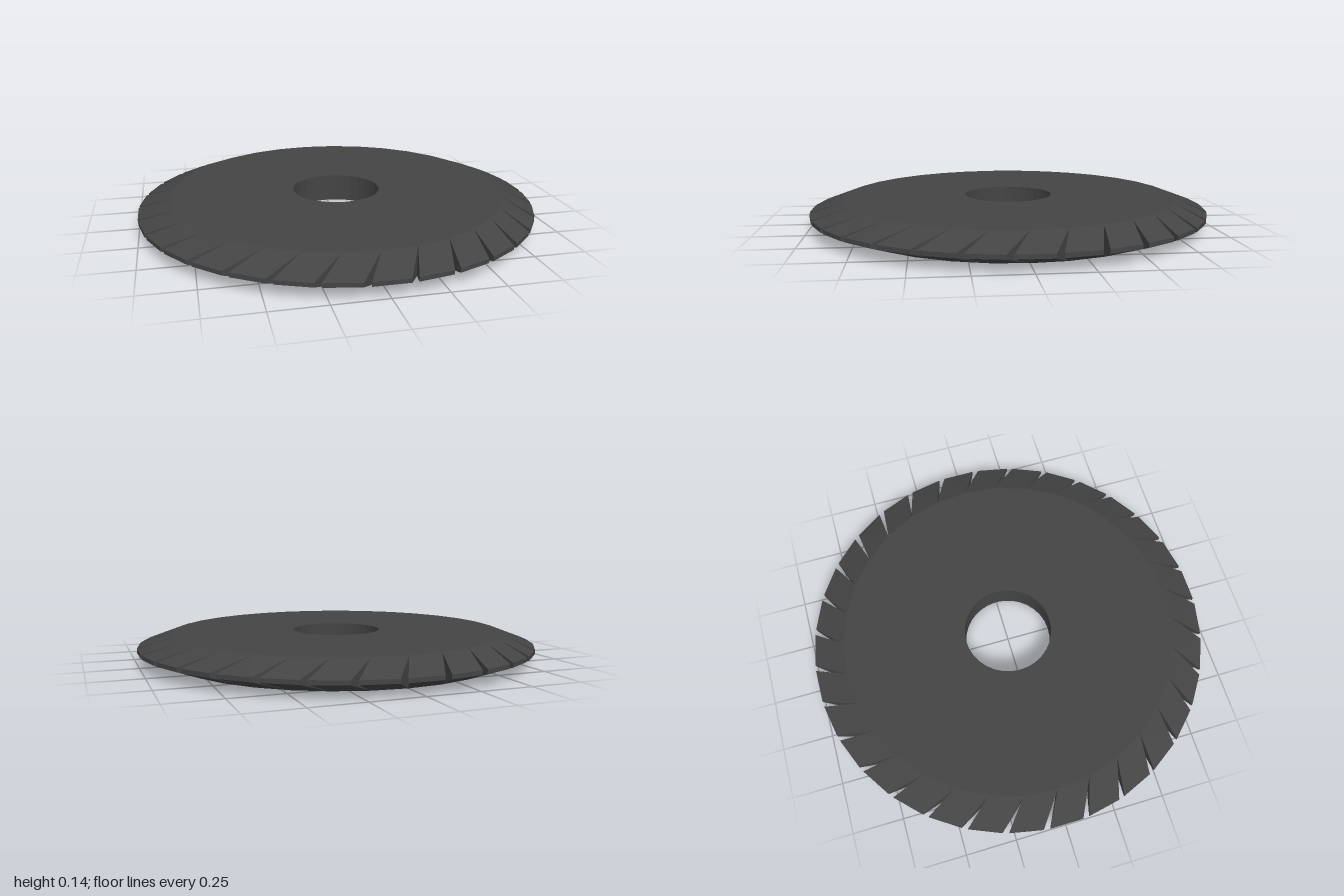
import * as THREE from 'three';

const TEETH = 32;
const PITCH = (Math.PI * 2) / TEETH;
const HALF_GAP = 0.0157; // half the slot width at the rim, in radians
const R_BORE = 0.222, R_DISC = 0.842, R_RIM = 1.0034;
const HEIGHT = 0.14, RIM_LOW = 0.06, RIM_HIGH = 0.08;

// Point on a circle; angles run clockwise seen from above
const point = (r, a, y) => [r * Math.sin(a), y, -r * Math.cos(a)];

// Collects counter-clockwise quads into one flat-shaded mesh
function quadMesh(name, material, build) {
  const positions = [];
  build((a, b, c, d) => positions.push(...a, ...b, ...c, ...a, ...c, ...d));
  const geometry = new THREE.BufferGeometry();
  geometry.setAttribute('position', new THREE.Float32BufferAttribute(positions, 3));
  geometry.computeVertexNormals();
  const mesh = new THREE.Mesh(geometry, material);
  mesh.name = name;
  return mesh;
}

export function createModel() {
  const group = new THREE.Group();
  group.name = 'circularSawBlade';
  const steel = new THREE.MeshStandardMaterial({ color: 0x444444, flatShading: true });

  // Flat faces around the central hole
  group.add(quadMesh('disc', steel, (quad) => {
    for (let i = 0; i < TEETH; i++) {
      const a = i * PITCH, b = a + PITCH;
      quad(point(R_BORE, a, HEIGHT), point(R_BORE, b, HEIGHT), point(R_DISC, b, HEIGHT), point(R_DISC, a, HEIGHT));
      quad(point(R_DISC, a, 0), point(R_DISC, b, 0), point(R_BORE, b, 0), point(R_BORE, a, 0));
    }
  }));

  // Inner wall of the hole
  group.add(quadMesh('bore', steel, (quad) => {
    for (let i = 0; i < TEETH; i++) {
      const a = i * PITCH, b = a + PITCH;
      quad(point(R_BORE, a, 0), point(R_BORE, b, 0), point(R_BORE, b, HEIGHT), point(R_BORE, a, HEIGHT));
    }
  }));

  // Swept, tapering teeth separated by narrow V slots
  group.add(quadMesh('teeth', steel, (quad) => {
    for (let i = 0; i < TEETH; i++) {
      const a = i * PITCH, b = a + PITCH;
      const c = a + PITCH / 2 + HALF_GAP, d = b + PITCH / 2 - HALF_GAP;
      const [aLow, aTop] = [0, HEIGHT].map((y) => point(R_DISC, a, y));
      const [bLow, bTop] = [0, HEIGHT].map((y) => point(R_DISC, b, y));
      const [cLow, cTop] = [RIM_LOW, RIM_HIGH].map((y) => point(R_RIM, c, y));
      const [dLow, dTop] = [RIM_LOW, RIM_HIGH].map((y) => point(R_RIM, d, y));
      quad(bTop, dTop, cTop, aTop); // upper bevel
      quad(cLow, dLow, bLow, aLow); // lower bevel
      quad(dLow, cLow, cTop, dTop); // rim
      quad(cLow, aLow, aTop, cTop); // slot walls
      quad(bLow, dLow, dTop, bTop);
    }
  }));

  return group;
}
